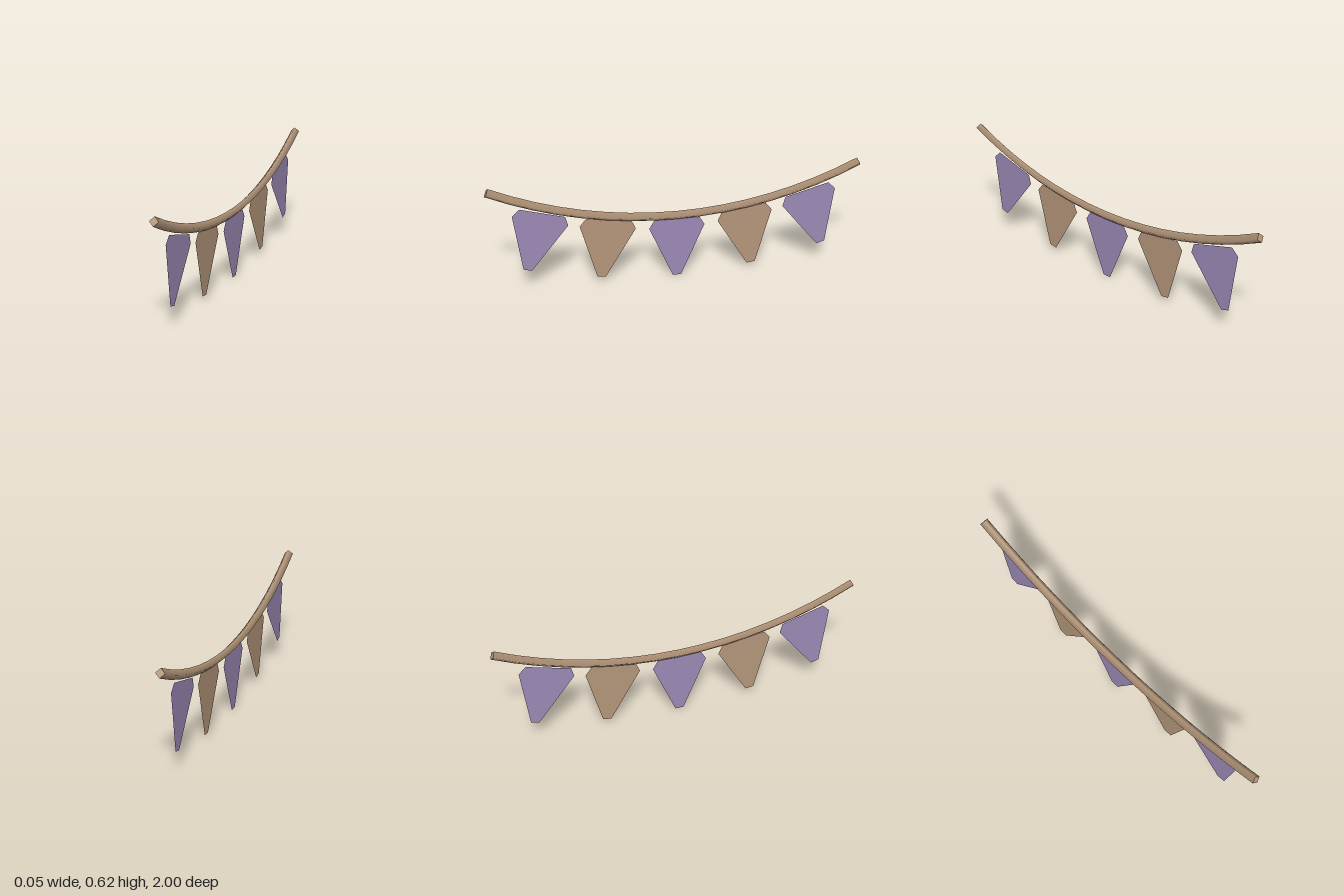
import * as THREE from 'three';

export function createModel() {
  const model = new THREE.Group();
  const tan = new THREE.MeshStandardMaterial({ name: 'tan', color: 0xb5977a, side: THREE.DoubleSide });
  const purple = new THREE.MeshStandardMaterial({ name: 'purple', color: 0x9c8ab6, side: THREE.DoubleSide });
  const add = (name, geometry, material, parent = model) => {
    const mesh = new THREE.Mesh(geometry, material);
    mesh.name = name;
    parent.add(mesh);
    return mesh;
  };

  // Sagging four-sided rope along a shallow arc
  const lowest = 0.367, arcRadius = 2.27, halfAngle = 0.451, thickness = 0.0245;
  class SagCurve extends THREE.Curve {
    getPoint(t, target = new THREE.Vector3()) {
      const a = (t * 2 - 1) * halfAngle;
      return target.set(0, lowest + arcRadius * (1 - Math.cos(a)), arcRadius * Math.sin(a));
    }
  }
  const sag = new SagCurve();
  const rope = new THREE.Group();
  rope.name = 'rope';
  model.add(rope);
  add('ropeLength', new THREE.TubeGeometry(sag, 16, thickness, 4), tan, rope);

  // Diamond caps closing both rope ends
  for (const t of [0, 1]) {
    const cap = add('ropeEnd', new THREE.CircleGeometry(thickness, 4), tan, rope);
    const outward = sag.getTangent(t).multiplyScalar(t ? 1 : -1);
    cap.position.copy(sag.getPoint(t));
    cap.lookAt(cap.position.clone().add(outward));
  }

  // Flat pennant with clipped corners, hanging from its top middle
  const outline = [[-0.122, 0], [-0.15, -0.047], [-0.023, -0.345], [0.023, -0.345], [0.15, -0.047], [0.122, 0]];
  const pennant = new THREE.ShapeGeometry(new THREE.Shape(outline.map(([x, y]) => new THREE.Vector2(x, y))));
  pennant.rotateY(-Math.PI / 2);

  const addFlag = (z, y, tilt, material) => {
    const flag = add(material.name + 'Flag', pennant, material);
    flag.position.set(0, y, z);
    flag.rotation.x = -tilt;
  };
  addFlag(0, 0.345, 0, purple);
  for (const side of [-1, 1]) {
    addFlag(side * 0.364, 0.375, side * 0.14, tan);
    addFlag(side * 0.71, 0.449, side * 0.275, purple);
  }
  return model;
}
